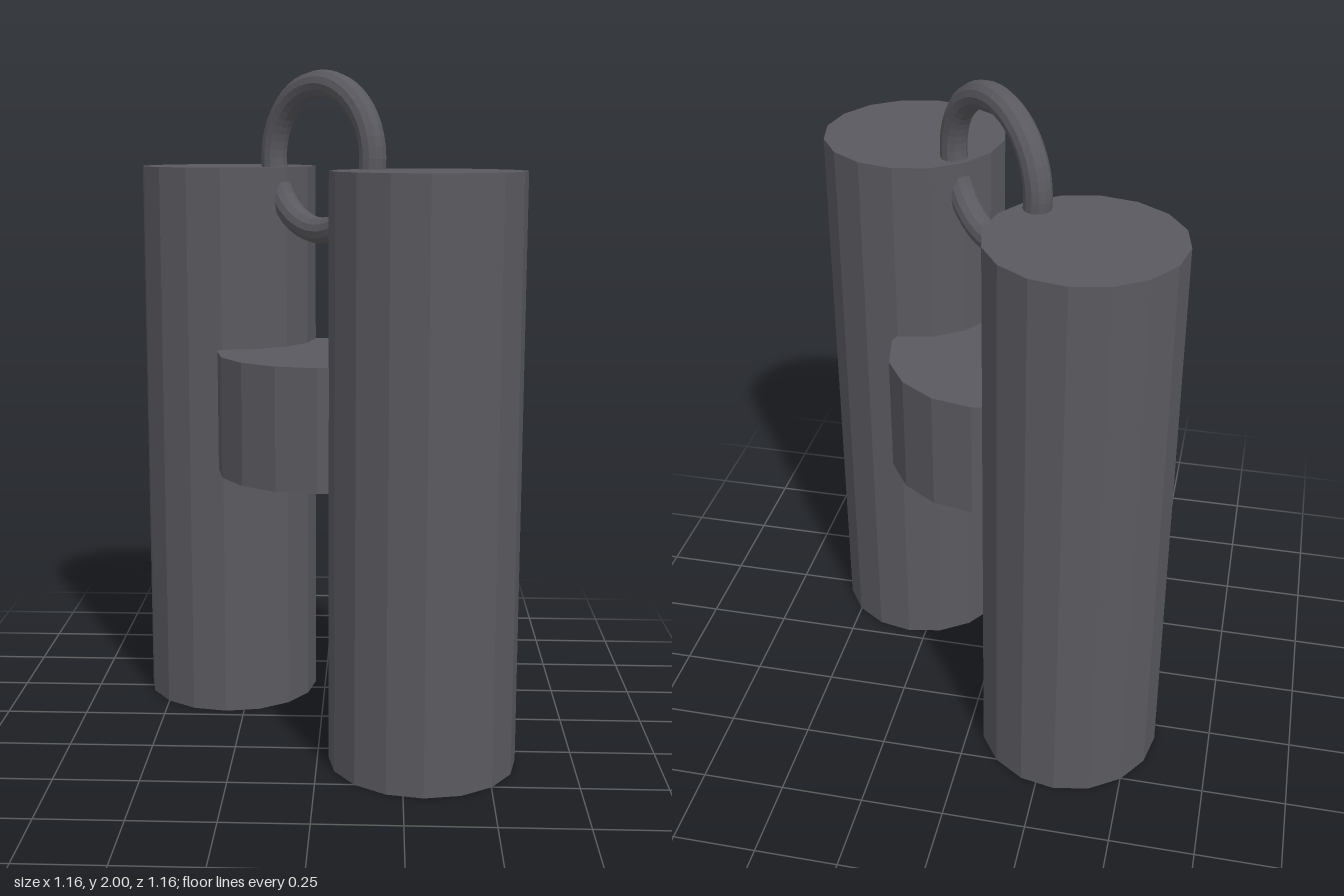
import * as THREE from 'three';

export function createModel() {
  const group = new THREE.Group();
  const darkGrey = new THREE.MeshStandardMaterial({ color: 0x5a595f, flatShading: true });
  darkGrey.name = 'darkGrey';

  const add = (name, geometry, x, y, z) => {
    const mesh = new THREE.Mesh(geometry, darkGrey);
    mesh.name = name;
    mesh.position.set(x, y, z);
    group.add(mesh);
    return mesh;
  };

  // Two tall barrels set on the diagonal
  const barrel = new THREE.CylinderGeometry(0.275, 0.275, 1.715, 16);
  add('frontBarrel', barrel, 0.307, 0.8575, 0.307);
  add('backBarrel', barrel, -0.307, 0.8575, -0.307);

  // Short hub joining the barrels
  add('hub', new THREE.CylinderGeometry(0.317, 0.317, 0.365, 16), 0, 0.9825, 0);

  // Ring standing between the barrel tops
  const ring = add('ring', new THREE.TorusGeometry(0.215, 0.04, 12, 48), 0, 1.745, 0);
  ring.rotation.y = -Math.PI / 4;

  return group;
}
